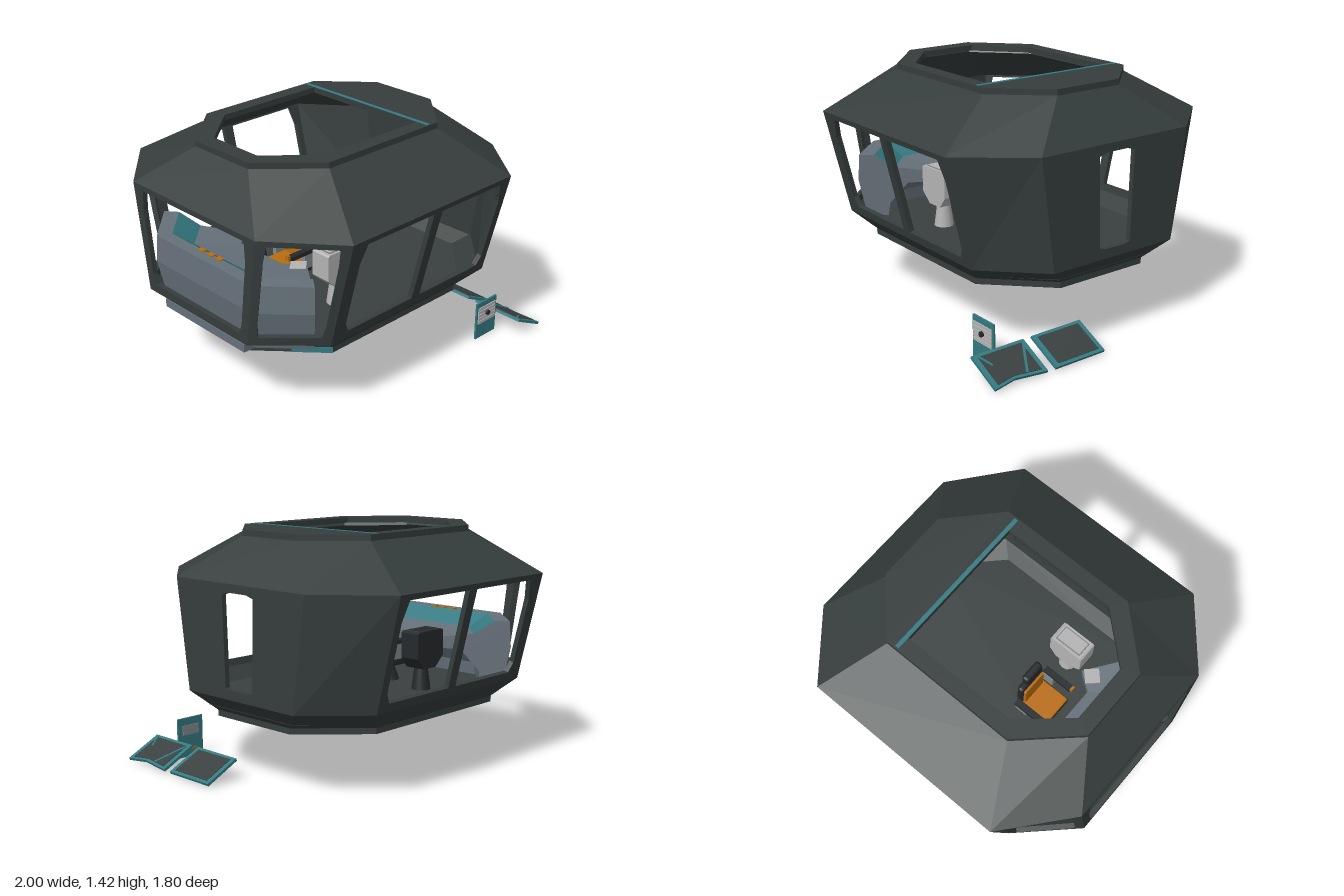
import * as THREE from 'three';
import { RoundedBoxGeometry } from 'three/addons/geometries/RoundedBoxGeometry.js';

const mat = (name, color, side = THREE.FrontSide) => {
  const m = new THREE.MeshStandardMaterial({ color, side });
  m.name = name;
  return m;
};

export function createModel() {
  const M = {
    shell: mat('shellCharcoal', 0x353d3c),
    floor: mat('floorGrey', 0x3a4040),
    teal: mat('teal', 0x357a82, THREE.DoubleSide),
    orange: mat('orange', 0xb96d0c),
    console: mat('consoleBlueGrey', 0x66717a, THREE.DoubleSide),
    light: mat('lightGrey', 0xb4b4b4),
    dark: mat('darkTrim', 0x25292c),
    steel: mat('steelGrey', 0x84898c),
  };
  const root = new THREE.Group();
  root.name = 'controlCabin';

  const add = (name, geo, material, parent = root) => {
    const m = new THREE.Mesh(geo, material);
    m.name = name;
    parent.add(m);
    return m;
  };
  const box = (name, material, w, h, d, x, y, z, parent = root, r = 0) => {
    const g = r ? new RoundedBoxGeometry(w, h, d, 2, r) : new THREE.BoxGeometry(w, h, d);
    const m = add(name, g, material, parent);
    m.position.set(x, y, z);
    return m;
  };
  const poly = (pts) => pts.map(([x, y]) => new THREE.Vector2(x, y));

  // Eight-sided outline, anticlockwise seen from above, beginning at the front wall
  const ring = (y, xl, xr, cl, cr, z, cz) => [
    [cl, z], [cr, z], [xr, cz], [xr, -cz], [cr, -z], [cl, -z], [xl, -cz], [xl, cz],
  ].map(([x, zz]) => new THREE.Vector3(x, y, zz));

  // Horizontal slab from an outline of [x, z] points
  const slab = (name, pts, y, h, material, hole) => {
    const shape = new THREE.Shape(poly(pts.map(([x, z]) => [x, -z])));
    if (hole) shape.holes.push(new THREE.Path(poly(hole.map(([x, z]) => [x, -z]))));
    const g = new THREE.ExtrudeGeometry(shape, { depth: h, bevelEnabled: false });
    g.rotateX(-Math.PI / 2);
    g.translate(0, y, 0);
    return add(name, g, material);
  };
  const flat = (r) => r.map((p) => [p.x, p.z]);

  // Wall panel: unit square with holes, stretched between four corners
  const panel = (name, lo, hi, i, material, { holes = [], u0 = 0, u1 = 1, inner = 0.03, outer = 0 } = {}) => {
    const j = (i + 1) % 8;
    const [a, b, c, d] = [lo[i], lo[j], hi[j], hi[i]];
    const n = c.clone().sub(a).cross(d.clone().sub(b)).normalize();
    const shape = new THREE.Shape(poly([[u0, 0], [u1, 0], [u1, 1], [u0, 1]]));
    holes.forEach((h) => shape.holes.push(new THREE.Path(poly(h))));
    const g = new THREE.ExtrudeGeometry(shape, { depth: 1, bevelEnabled: false });
    const p = g.attributes.position;
    const low = new THREE.Vector3(), high = new THREE.Vector3();
    for (let k = 0; k < p.count; k++) {
      const u = p.getX(k), v = p.getY(k), w = p.getZ(k);
      low.lerpVectors(a, b, u);
      high.lerpVectors(d, c, u);
      low.lerp(high, v).addScaledVector(n, -inner + w * (inner + outer));
      p.setXYZ(k, low.x, low.y, low.z);
    }
    g.computeVertexNormals();
    return add(name, g, material);
  };

  // Window outline with clipped corners on the chosen sides
  const pane = (u0, u1, cl, cr, v0 = 0.08, v1 = 0.95) => [
    [u0 + cl, v0], [u1 - cr, v0], [u1, v0 + 0.09], [u1, v1 - 0.18],
    [u1 - cr, v1], [u0 + cl, v1], [u0, v1 - 0.18], [u0, v0 + 0.09],
  ];

  // Shell levels from the base up to the roof rim
  const base0 = ring(0.355, -0.87, 0.79, -0.56, 0.46, 0.63, 0.3);
  const base1 = ring(0.39, -0.87, 0.79, -0.56, 0.46, 0.63, 0.3);
  const sill = ring(0.5, -1, 0.89, -0.68, 0.58, 0.74, 0.43);
  const eave = ring(1.15, -1, 0.89, -0.68, 0.58, 0.9, 0.52);
  const top = ring(1.385, -0.78, 0.65, -0.47, 0.38, 0.51, 0.22);
  const diagonal = [pane(0.1, 0.9, 0.02, 0.02)];
  const openings = {
    0: [pane(0.065, 0.49, 0.025, 0.001), pane(0.54, 0.96, 0.001, 0.025)],
    2: [[[0.375, 0.1], [0.43, 0.085], [0.57, 0.085], [0.625, 0.1], [0.625, 0.9], [0.57, 0.925], [0.43, 0.925], [0.375, 0.9]]],
    4: [pane(0.04, 0.46, 0.025, 0.001), pane(0.51, 0.935, 0.001, 0.025)],
    5: diagonal, 6: [pane(0.06, 0.94, 0.02, 0.02)], 7: diagonal,
  };
  for (let i = 0; i < 8; i++) {
    panel('lowerSkirt', base1, sill, i, M.shell);
    panel('wall', sill, eave, i, M.shell, { holes: openings[i] });
    panel('roofSlope', eave, top, i, M.shell);
  }
  slab('basePlate', flat(base0), 0.355, 0.035, M.shell);
  slab('floor', flat(ring(0, -0.9, 0.82, -0.6, 0.49, 0.66, 0.34)), 0.42, 0.02, M.floor);
  panel('baseStripe', base0, base1, 7, M.teal, { u0: 0.5, inner: 0, outer: 0.005 });
  panel('baseStripe', base0, base1, 5, M.teal, { u1: 0.5, inner: 0, outer: 0.005 });

  // Roof rim with the skylight opening and a crosswise strip
  slab('roofRim', flat(top), 1.385, 0.035, M.shell,
    [[0.3, 0.42], [0.3, -0.42], [-0.41, -0.42], [-0.68, -0.18], [-0.68, 0.18], [-0.41, 0.42]]);
  box('roofStrip', M.teal, 0.025, 0.034, 1.0, 0.313, 1.405, 0);

  // Wrap-around console: one profile swept through four stations
  const stations = [
    [[-0.72, 0.66], [-0.41, 0.26]], [[-0.95, 0.42], [-0.52, 0.18]],
    [[-0.95, -0.42], [-0.52, -0.18]], [[-0.72, -0.66], [-0.41, -0.26]],
  ];
  const profile = [
    [0.1, 0.43], [0, 0.67], [0.02, 0.83], [0.2, 0.83], [0.45, 0.75],
    [1, 0.72], [1, 0.665], [0.6, 0.65], [0.38, 0.52], [0.35, 0.43],
  ];
  const at = (s, [t, y]) => {
    const [[ox, oz], [ix, iz]] = stations[s];
    return [ox + (ix - ox) * t, y, oz + (iz - oz) * t];
  };
  const screens = [], body = [];
  profile.forEach((p, k) => {
    const q = profile[(k + 1) % profile.length];
    const list = k === 3 ? screens : body;
    for (let s = 0; s < 3; s++) {
      const [a, b, c, d] = [at(s, p), at(s + 1, p), at(s + 1, q), at(s, q)];
      list.push(...a, ...b, ...c, ...a, ...c, ...d);
    }
    body.push(...at(0, [0.35, 0.69]), ...at(0, p), ...at(0, q));
    body.push(...at(3, [0.35, 0.69]), ...at(3, q), ...at(3, p));
  });
  [['console', body, M.console], ['consoleScreens', screens, M.teal]].forEach(([name, list, m]) => {
    const g = new THREE.BufferGeometry();
    g.setAttribute('position', new THREE.Float32BufferAttribute(list, 3));
    g.computeVertexNormals();
    add(name, g, m);
  });
  for (const z of [-0.09, -0.01, 0.06]) box('consoleButton', M.orange, 0.03, 0.008, 0.045, -0.87, 0.832, z);
  const tip = box('consoleTipPad', M.light, 0.09, 0.008, 0.09, -0.48, 0.729, 0.27);
  tip.rotation.y = 0.75;
  box('consoleUnderTray', M.console, 0.14, 0.05, 0.7, -0.885, 0.425, 0);

  // Operator chair, facing the console
  const chair = new THREE.Group();
  chair.name = 'chair';
  root.add(chair);
  box('seatBase', M.dark, 0.22, 0.05, 0.22, -0.33, 0.565, 0, chair, 0.015);
  box('seatCushion', M.orange, 0.2, 0.03, 0.2, -0.34, 0.6, 0, chair, 0.01);
  box('backrest', M.dark, 0.045, 0.24, 0.2, -0.222, 0.69, 0, chair, 0.02);
  box('backCushion', M.orange, 0.02, 0.19, 0.17, -0.25, 0.69, 0, chair, 0.008);
  box('headrest', M.dark, 0.05, 0.085, 0.14, -0.232, 0.91, 0, chair, 0.018);
  box('headrestStem', M.steel, 0.02, 0.1, 0.03, -0.228, 0.84, 0, chair);
  for (const s of [-1, 1]) {
    box('armrest', M.dark, 0.2, 0.025, 0.04, -0.33, 0.7, s * 0.135, chair);
    box('armrestSide', M.steel, 0.08, 0.1, 0.03, -0.27, 0.64, s * 0.125, chair);
    box('armrestGrip', M.orange, 0.015, 0.03, 0.03, -0.437, 0.71, s * 0.135, chair);
  }
  const post = add('chairPost', new THREE.CylinderGeometry(0.04, 0.08, 0.11, 12), M.dark, chair);
  post.position.set(-0.33, 0.49, 0);

  // Side pods on pedestals, pale at the front and dark at the back
  for (const [z, m, inset] of [[0.345, M.light, M.steel], [-0.34, M.dark, M.floor]]) {
    const shape = new THREE.Shape(poly([
      [-0.31, 0.575], [-0.2, 0.575], [-0.15, 0.64], [-0.15, 0.79], [-0.165, 0.8], [-0.37, 0.8], [-0.38, 0.79], [-0.38, 0.64],
    ]));
    const g = new THREE.ExtrudeGeometry(shape, { depth: 0.13, bevelEnabled: false });
    add('sidePod', g, m).position.z = z - 0.065;
    box('sidePodFrame', inset, 0.18, 0.004, 0.1, -0.265, 0.802, z);
    box('sidePodTop', m, 0.165, 0.006, 0.085, -0.265, 0.803, z);
    const leg = add('sidePodPedestal', new THREE.CylinderGeometry(0.04, 0.06, 0.15, 12), m);
    leg.position.set(-0.255, 0.505, z);
  }

  // Two loose tilted panels with dark faces
  for (const [z, broken] of [[0.328, false], [0.727, true]]) {
    const p = new THREE.Group();
    p.name = 'loosePanel';
    p.position.set(0.888, 0.068, z);
    p.rotation.z = -0.455;
    root.add(p);
    const right = broken ? [[0.118, -0.172], [0.095, -0.03], [0.118, 0.172]] : [[0.118, -0.172], [0.118, 0.172]];
    const outline = (k) => new THREE.Shape(poly([[-0.118 * k, 0.172 * k], [-0.118 * k, -0.172 * k], ...right.map(([x, y]) => [x * k, y * k])]));
    [['panelFrame', 1, 0.016, -0.008, M.teal], ['panelFace', 0.83, 0.004, 0.007, M.floor],
      ['panelUnderside', 0.9, 0.004, -0.011, M.steel]].forEach(([name, k, h, y, m]) => {
      const g = new THREE.ExtrudeGeometry(outline(k), { depth: h, bevelEnabled: false });
      g.rotateX(-Math.PI / 2);
      g.translate(0, y, 0);
      add(name, g, m, p);
    });
    if (broken) {
      box('panelBrace', M.teal, 0.2, 0.006, 0.014, 0.0, 0.013, -0.1, p).rotation.y = -0.5;
      box('panelBrace', M.teal, 0.09, 0.006, 0.012, -0.06, 0.013, 0.12, p).rotation.y = 0.5;
    }
  }

  // Upright vent plate with slats and a knob
  box('ventPlate', M.teal, 0.186, 0.245, 0.012, 0.665, 0.1235, 0.727);
  for (let i = 0; i < 5; i++) box('ventSlat', M.light, 0.162, 0.019, 0.006, 0.665, 0.112 + i * 0.023, 0.736);
  const knob = add('ventKnob', new THREE.CylinderGeometry(0.016, 0.016, 0.02, 10), M.dark);
  knob.rotation.x = Math.PI / 2;
  knob.position.set(0.665, 0.163, 0.742);
  box('ventBackPlate', M.steel, 0.12, 0.06, 0.006, 0.665, 0.17, 0.719);
  box('ventBackMark', M.orange, 0.08, 0.015, 0.006, 0.665, 0.05, 0.719);
  return root;
}
